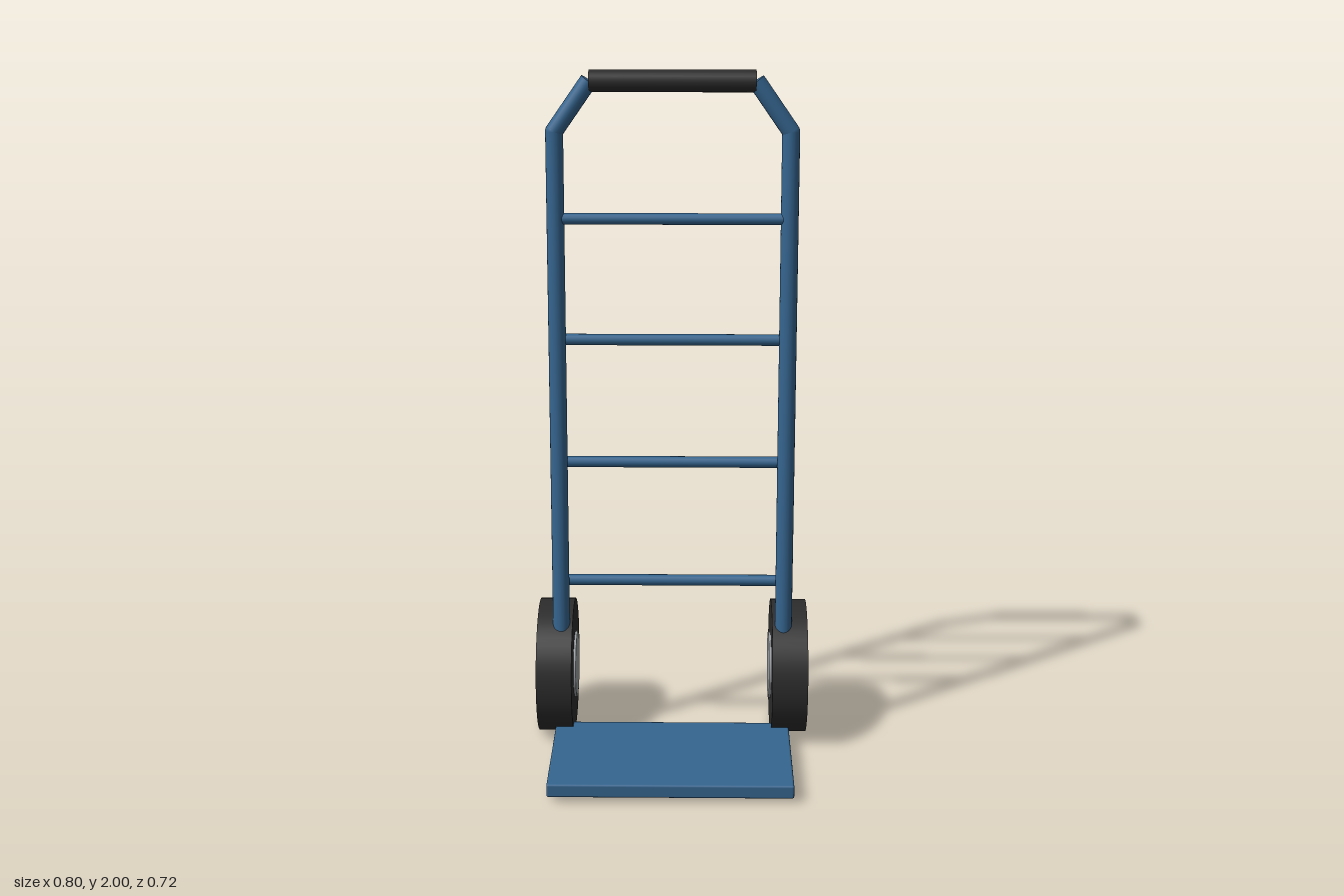
import * as THREE from 'three';
import { RoundedBoxGeometry } from 'three/addons/geometries/RoundedBoxGeometry.js';

const paint = (name, color) => {
  const m = new THREE.MeshStandardMaterial({ color });
  m.name = name;
  return m;
};

export function createModel() {
  const blue = paint('blue paint', 0x35658f);
  const rubber = paint('black rubber', 0x2c2c2c);
  const steel = paint('grey steel', 0x9a9fa2);
  const model = new THREE.Group();
  model.name = 'handTruck';

  const add = (name, geometry, material, x, y, z) => {
    const mesh = new THREE.Mesh(geometry, material);
    mesh.name = name;
    mesh.position.set(x, y, z);
    model.add(mesh);
    return mesh;
  };

  // Round bar running from point a to point b
  const bar = (name, a, b, radius, material, sides = 20) => {
    const from = new THREE.Vector3(...a), to = new THREE.Vector3(...b);
    const dir = to.clone().sub(from), mid = from.clone().add(to).multiplyScalar(0.5);
    const geometry = new THREE.CylinderGeometry(radius, radius, dir.length(), sides);
    const mesh = add(name, geometry, material, mid.x, mid.y, mid.z);
    mesh.quaternion.setFromUnitVectors(new THREE.Vector3(0, 1, 0), dir.normalize());
  };

  // Toe plate
  add('toePlate', new RoundedBoxGeometry(0.7, 0.04, 0.42, 2, 0.006), blue, 0, 0.035, 0.15);

  // Leaning side rails with inward bends, plus wheels
  for (const [side, s] of [['left', 1], ['right', -1]]) {
    const foot = [0.33 * s, 0.2, -0.056];
    const bend = [0.33 * s, 1.83, -0.1];
    const top = [0.232 * s, 1.97, -0.104];
    bar(side + 'Rail', foot, bend, 0.025, blue);
    add(side + 'RailBend', new THREE.SphereGeometry(0.025, 20, 14), blue, ...bend);
    bar(side + 'UpperRail', bend, top, 0.025, blue);
    bar(side + 'Wheel', [0.297 * s, 0.2, -0.16], [0.402 * s, 0.2, -0.16], 0.2, rubber, 48);
    bar(side + 'Hub', [0.29 * s, 0.2, -0.16], [0.33 * s, 0.2, -0.16], 0.1, steel, 32);
  }

  // Cross rungs behind the rails
  [0.5, 0.868, 1.235, 1.585].forEach((y, i) =>
    bar('rung' + (i + 1), [-0.325, y, -0.093], [0.325, y, -0.093], 0.0165, blue, 16));

  // Handle grip
  bar('handleGrip', [-0.232, 1.969, -0.104], [0.232, 1.969, -0.104], 0.031, rubber, 24);

  return model;
}
